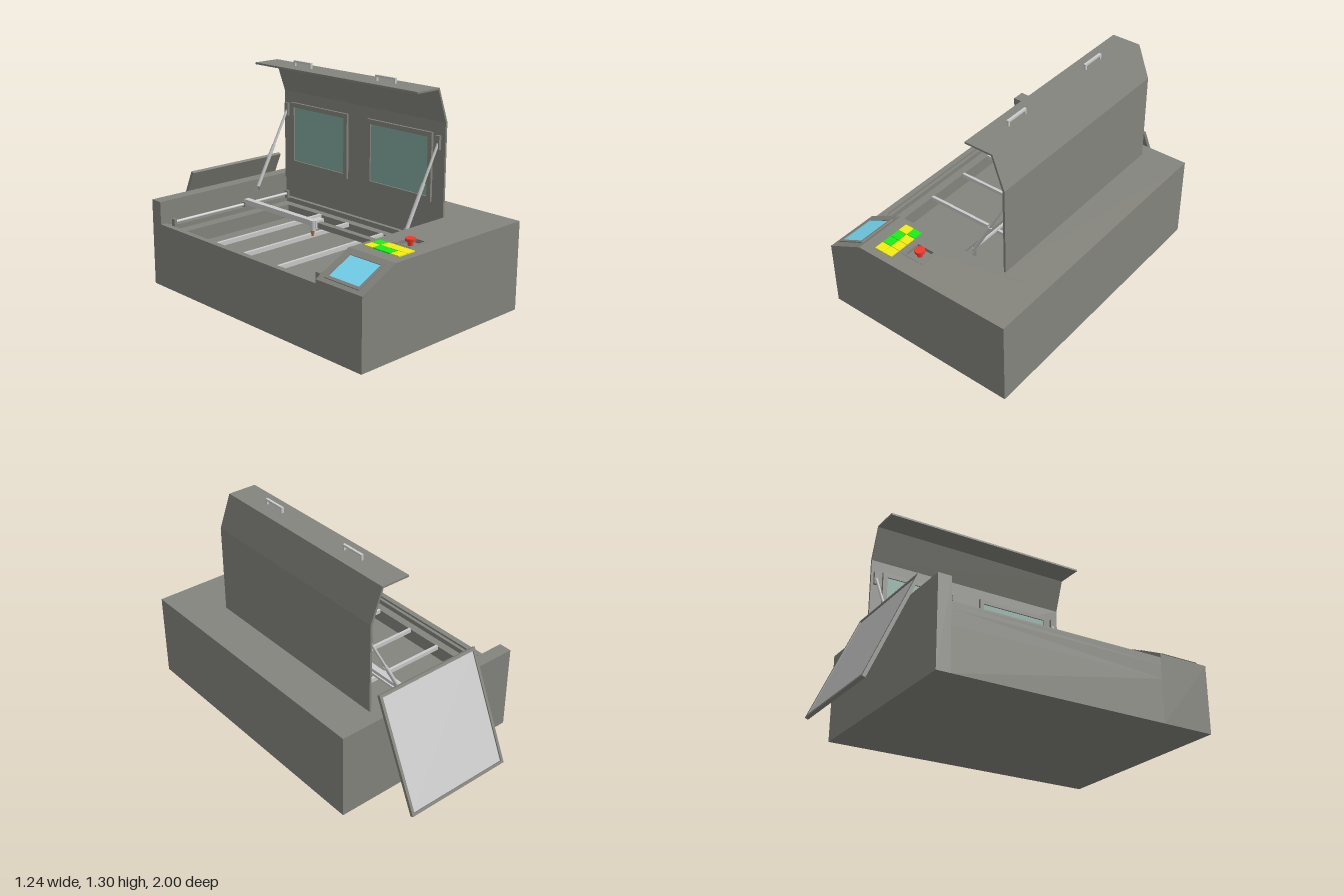
import * as THREE from 'three';

const mat = (color) => new THREE.MeshStandardMaterial({ color });
const shell = mat(0x85857e), metal = mat(0xcccccc), red = mat(0xf03a2c), yellow = mat(0xf4ee10),
  green = mat(0x18f018), blue = mat(0x78dcf8), glass = mat(0x84a89e), copper = mat(0xd88040);

function add(parent, name, geometry, material) {
  const mesh = new THREE.Mesh(geometry, material);
  mesh.name = name;
  parent.add(mesh);
  return mesh;
}

// box given by its limits on each axis
function box(parent, name, material, x0, x1, y0, y1, z0, z1) {
  const mesh = add(parent, name, new THREE.BoxGeometry(x1 - x0, y1 - y0, z1 - z0), material);
  mesh.position.set((x0 + x1) / 2, (y0 + y1) / 2, (z0 + z1) / 2);
  return mesh;
}

function rectangle(PathType, x0, x1, y0, y1) {
  const p = new PathType();
  p.moveTo(x0, y0).lineTo(x1, y0).lineTo(x1, y1).lineTo(x0, y1).closePath();
  return p;
}

// plate with a rectangular hole, drawn in x/y and thickened along z
function frameGeometry([x0, x1, y0, y1], [a0, a1, b0, b1], depth) {
  const shape = rectangle(THREE.Shape, x0, x1, y0, y1);
  shape.holes.push(rectangle(THREE.Path, a0, a1, b0, b1));
  return new THREE.ExtrudeGeometry(shape, { depth, bevelEnabled: false });
}

// the same plate lying flat; limits are x0, x1, z0, z1
function flatFrame(parent, name, material, [x0, x1, z0, z1], [a0, a1, b0, b1], yLow, yHigh) {
  const g = frameGeometry([x0, x1, -z1, -z0], [a0, a1, -b1, -b0], yHigh - yLow);
  return add(parent, name, g.rotateX(-Math.PI / 2).translate(0, yLow, 0), material);
}

// side profile in x/y, run along z
function profile(parent, name, material, points, z0, z1) {
  const shape = new THREE.Shape(points.map(([x, y]) => new THREE.Vector2(x, y)));
  const g = new THREE.ExtrudeGeometry(shape, { depth: z1 - z0, bevelEnabled: false });
  return add(parent, name, g.translate(0, 0, z0), material);
}

function rod(parent, name, material, from, to, radius) {
  const a = new THREE.Vector3(...from), b = new THREE.Vector3(...to);
  const mesh = add(parent, name, new THREE.CylinderGeometry(radius, radius, a.distanceTo(b), 16), material);
  mesh.position.copy(a).add(b).multiplyScalar(0.5);
  mesh.quaternion.setFromUnitVectors(new THREE.Vector3(0, 1, 0), b.sub(a).normalize());
  return mesh;
}

function group(parent, name) {
  const g = new THREE.Group();
  g.name = name;
  parent.add(g);
  return g;
}

function buildCabinet(root) {
  const g = group(root, 'cabinet');
  box(g, 'cavityFloor', shell, -0.62, 0.37, 0, 0.26, -0.66, 0.67);
  box(g, 'leftBlock', shell, 0.37, 0.62, 0, 0.525, -0.66, 0.67);
  box(g, 'backWall', shell, -0.62, 0.62, 0, 0.525, -0.74, -0.66);
  const outer = [-0.62, 0.37, -0.66, 0.67];
  flatFrame(g, 'bedLedge', shell, outer, [-0.515, 0.295, -0.56, 0.565], 0.26, 0.345);
  flatFrame(g, 'cavityRim', shell, outer, [-0.565, 0.345, -0.63, 0.64], 0.345, 0.375);
  box(g, 'rightLip', shell, -0.62, -0.585, 0.375, 0.388, -0.66, 0.67);
  // front console with a sloped corner and a recess for the stop button
  profile(g, 'consoleBase', shell,
    [[-0.62, 0], [0.62, 0], [0.62, 0.505], [-0.385, 0.505], [-0.385, 0.525], [-0.62, 0.41]], 0.67, 1);
  flatFrame(g, 'consoleTop', shell, [-0.385, 0.62, 0.67, 1], [-0.15, -0.035, 0.785, 0.88], 0.505, 0.525);
}

function buildControls(root) {
  const g = group(root, 'controls');
  // display on the slope
  const display = group(g, 'display');
  display.position.set(-0.5025, 0.4675, 0.832);
  display.rotation.z = Math.atan2(0.115, 0.235);
  flatFrame(display, 'displayFrame', shell, [-0.104, 0.104, -0.124, 0.124], [-0.085, 0.085, -0.108, 0.108], 0, 0.006);
  box(display, 'displayGlass', blue, -0.085, 0.085, -0.002, 0.002, -0.108, 0.108);
  // keypad
  [[yellow, green], [green, yellow], [green, yellow], [yellow, yellow]].forEach((row, r) =>
    row.forEach((color, c) => {
      const x = -0.31 + c * 0.061, z = 0.707 + r * 0.062;
      box(g, 'keypadButton', color, x, x + 0.058, 0.524, 0.531, z, z + 0.059);
    }));
  // stop button
  flatFrame(g, 'stopFrame', shell, [-0.165, -0.02, 0.77, 0.895], [-0.15, -0.035, 0.785, 0.88], 0.52, 0.527);
  rod(g, 'stopStem', red, [-0.0925, 0.5, 0.832], [-0.0925, 0.535, 0.832], 0.016);
  rod(g, 'stopCap', red, [-0.0925, 0.533, 0.832], [-0.0925, 0.548, 0.832], 0.03);
}

function buildMechanism(root) {
  const g = group(root, 'mechanism');
  for (const z of [-0.26, -0.02, 0.265])
    box(g, 'bedBar', metal, -0.515, 0.295, 0.325, 0.35, z - 0.009, z + 0.009);
  // side rails with end brackets
  for (const z of [-0.615, 0.625]) {
    rod(g, 'sideRail', metal, [-0.56, 0.4, z], [0.34, 0.4, z], 0.009);
    for (const x of [-0.555, 0.335])
      box(g, 'railBracket', shell, x - 0.009, x + 0.009, 0.37, 0.42, z - 0.014, z + 0.014);
    box(g, 'beamSlider', shell, -0.03, 0.03, 0.385, 0.415, z - 0.014, z + 0.014);
  }
  // crossing beam and cutting head
  box(g, 'beamRear', metal, -0.02, 0.018, 0.4, 0.432, -0.62, 0.02);
  box(g, 'beamFront', shell, -0.02, 0.018, 0.4, 0.432, 0.02, 0.63);
  box(g, 'beamTrack', metal, 0.025, 0.035, 0.405, 0.42, -0.62, 0.63);
  box(g, 'carriage', metal, -0.03, 0.035, 0.395, 0.445, 0, 0.045);
  rod(g, 'headTube', metal, [-0.035, 0.385, 0.0225], [-0.035, 0.445, 0.0225], 0.019);
  const nozzle = add(g, 'nozzle', new THREE.CylinderGeometry(0.014, 0.006, 0.035, 16), copper);
  nozzle.position.set(-0.035, 0.368, 0.0225);
}

function buildLid(root) {
  const g = group(root, 'lid');
  profile(g, 'lidSheet', shell,
    [[0.357, 0.5], [0.37, 0.5], [0.37, 1.07], [0.296, 1.268], [0.118, 1.268], [0.118, 1.257], [0.288, 1.257], [0.357, 1.067]],
    -0.655, 0.668);
  for (const side of [-1, 1]) {
    // window on the inner face
    const frame = frameGeometry([-0.25, 0.25, 0.6, 1], [-0.222, 0.222, 0.628, 0.972], 0.017);
    const window = add(g, 'windowFrame', frame.rotateY(-Math.PI / 2), shell);
    window.position.set(0.358, 0, side * 0.333);
    box(g, 'windowGlass', glass, 0.35, 0.374 - 0.005, 0.628, 0.972, side * 0.333 - 0.222, side * 0.333 + 0.222);
    // support strut
    const z = side * 0.625;
    rod(g, 'supportStrut', metal, [0.1, 0.49, z], [0.35, 0.95, z], 0.008);
    rod(g, 'strutSleeve', metal, [0.1, 0.49, z], [0.235, 0.738, z], 0.011);
    box(g, 'strutUpperMount', shell, 0.34, 0.358, 0.91, 0.99, z - 0.014, z + 0.014);
    box(g, 'strutLowerMount', shell, 0.085, 0.12, 0.46, 0.505, z - 0.012, z + 0.03 * side + 0.012);
    // handle
    const h = side > 0 ? 0.357 : -0.32;
    box(g, 'handleGrip', metal, 0.197, 0.212, 1.29, 1.302, h - 0.075, h + 0.075);
    for (const e of [-0.069, 0.069])
      box(g, 'handlePost', metal, 0.197, 0.212, 1.265, 1.292, h + e - 0.006, h + e + 0.006);
  }
}

// framed panel leaning behind the cabinet
function buildRearPanel(root) {
  const g = group(root, 'rearPanel');
  g.position.set(0, 0.327, -0.845);
  g.rotation.x = 0.42;
  const rim = frameGeometry([-0.35, 0.35, -0.352, 0.352], [-0.333, 0.333, -0.335, 0.335], 0.02);
  add(g, 'panelFrame', rim.translate(0, 0, -0.01), shell);
  box(g, 'panelBacking', shell, -0.34, 0.34, -0.34, 0.34, 0.002, 0.008);
  box(g, 'panelInsert', metal, -0.333, 0.333, -0.335, 0.335, -0.003, 0.003);
}

export function createModel() {
  const root = new THREE.Group();
  root.name = 'cuttingMachine';
  [buildCabinet, buildControls, buildMechanism, buildLid, buildRearPanel].forEach((build) => build(root));
  return root;
}
